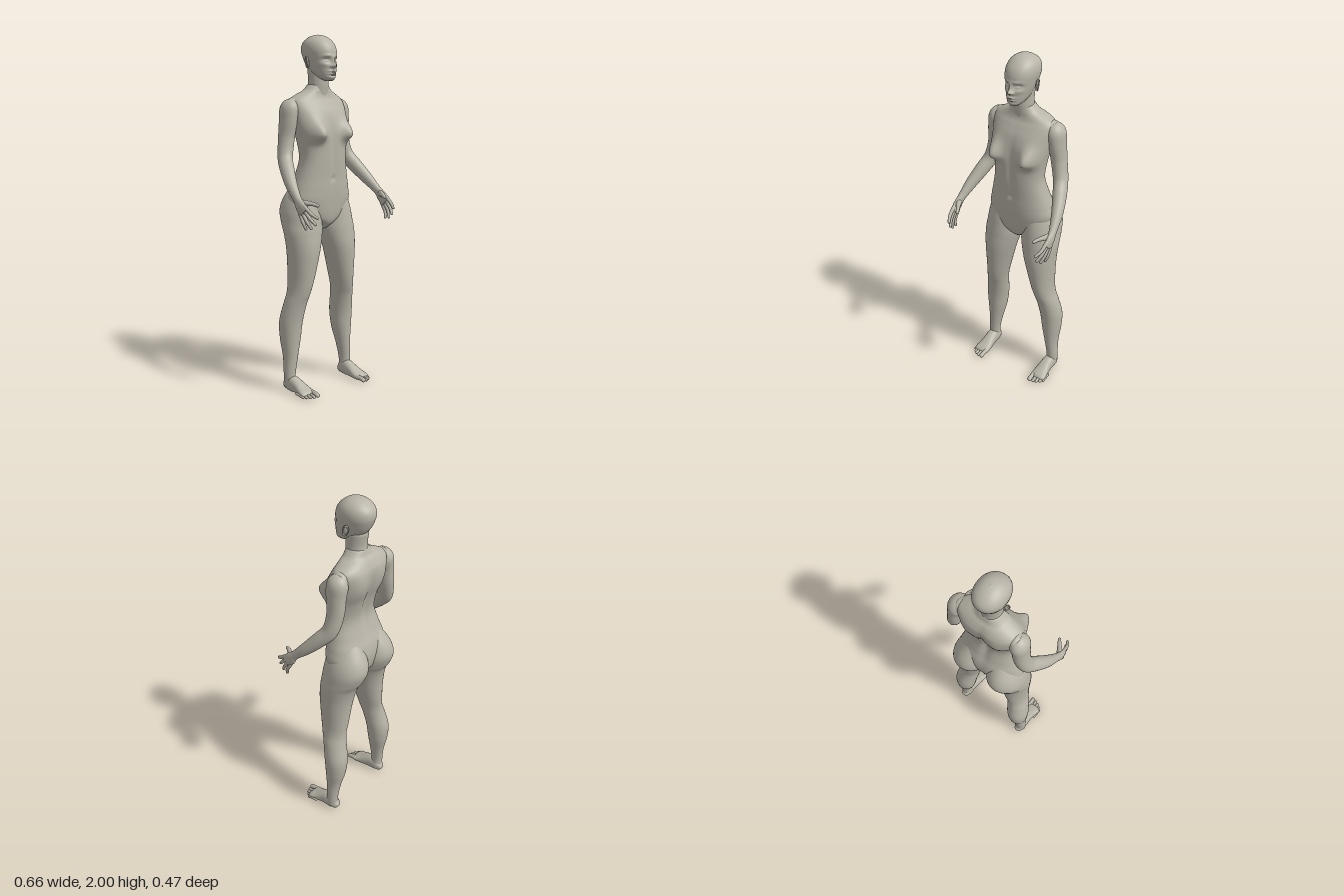
import * as THREE from 'three';

const skin = new THREE.MeshStandardMaterial({ color: 0xb8b4a8 });
skin.name = 'warm grey clay';

// Smooth interpolation through rows of numbers, t from 0 to 1
function sample(rows, t) {
  const n = rows.length - 1;
  const i = Math.min(n - 1, Math.floor(t * n));
  const f = t * n - i;
  const at = (k) => rows[Math.max(0, Math.min(n, k))];
  return rows[i].map((b, k) => {
    const a = at(i - 1)[k], c = at(i + 1)[k], d = at(i + 2)[k];
    return b + 0.5 * f * (c - a + f * (2 * a - 5 * b + 4 * c - d + f * (3 * (b - c) + d - a)));
  });
}

const power = (v, n) => Math.sign(v) * Math.pow(Math.abs(v), 2 / n);

// Skin over rows of [x, y, z, radius along x, radius across], with rounded ends
function loft(name, rows, { steps = 40, sides = 32, n = 2, upright = false, cap = 1, shape } = {}) {
  const rings = [];
  const ring = (t, phi, dir) => {
    const [x, y, z, ra, rb] = sample(rows, t);
    const c = new THREE.Vector3(x, y, z);
    const p0 = sample(rows, Math.max(0, t - 0.01)), p1 = sample(rows, Math.min(1, t + 0.01));
    const T = upright ? new THREE.Vector3(0, 1, 0)
      : new THREE.Vector3(p1[0] - p0[0], p1[1] - p0[1], p1[2] - p0[2]).normalize();
    const A = new THREE.Vector3(1, 0, 0).addScaledVector(T, -T.x).normalize();
    const B = T.clone().cross(A);
    c.addScaledVector(T, dir * cap * Math.min(ra, rb) * Math.sin(phi));
    const k = Math.max(0.001, Math.cos(phi));
    rings.push(Array.from({ length: sides }, (_, j) => {
      const a = (j / sides) * Math.PI * 2;
      const p = c.clone().addScaledVector(A, ra * k * power(Math.cos(a), n))
        .addScaledVector(B, rb * k * power(Math.sin(a), n));
      if (shape) shape(p, z);
      return p;
    }));
  };
  for (let i = 6; i > 0; i--) ring(0, (i / 6) * Math.PI / 2, -1);
  for (let i = 0; i <= steps; i++) ring(i / steps, 0, 0);
  for (let i = 1; i <= 6; i++) ring(1, (i / 6) * Math.PI / 2, 1);

  const index = [];
  for (let i = 0; i < rings.length - 1; i++) {
    for (let j = 0; j < sides; j++) {
      const a = i * sides + j, b = i * sides + (j + 1) % sides;
      index.push(a, b, b + sides, a, b + sides, a + sides);
    }
  }
  const geometry = new THREE.BufferGeometry().setFromPoints(rings.flat());
  geometry.setIndex(index);
  geometry.computeVertexNormals();
  const mesh = new THREE.Mesh(geometry, skin);
  mesh.name = name;
  return mesh;
}

// Level sections: [y, centre x, half width, front z, back z]
const level = (rows) => rows.map(([y, x, w, f, b]) => [x, y, (f + b) / 2, w, (f - b) / 2]);
const mirror = (rows, s) => rows.map(([x, ...rest]) => [x * s, ...rest]);
const bump = (dx, dy, sx, sy) => Math.exp(-((dx / sx) ** 2) - (dy / sy) ** 2);

// Chest, navel, shoulder blades and spine
function shapeTorso(p, mid) {
  const x = Math.abs(p.x), y = p.y;
  if (p.z > mid) {
    const dy = y - 1.455;
    p.z += 0.06 * bump(x - 0.108, dy, 0.046, dy < 0 ? 0.04 : 0.07);
    p.z -= 0.008 * bump(x, y - 1.21, 0.012, 0.014);
    p.z -= 0.008 * bump(x, y - 1.38, 0.02, 0.15);
  } else {
    p.z -= 0.012 * bump(x - 0.095, y - 1.54, 0.05, 0.08);
    p.z += 0.016 * bump(x, y - 1.4, 0.025, 0.2);
  }
}

// Brow, eyes, nose, lips and chin
function shapeFace(p) {
  if (p.z < -0.04) return;
  const x = Math.abs(p.x), y = p.y;
  let d = -0.016 * bump(x - 0.034, y - 1.858, 0.02, 0.014);
  d += 0.009 * bump(x - 0.034, y - 1.855, 0.013, 0.007);
  d += 0.005 * bump(x - 0.03, y - 1.882, 0.025, 0.009);
  d += 0.013 * bump(x, y - 1.855, 0.009, 0.022);
  d += 0.022 * bump(x, y - 1.83, 0.012, 0.013);
  d += 0.01 * bump(x - 0.014, y - 1.826, 0.008, 0.008);
  d += 0.011 * bump(x, y - 1.799, 0.022, 0.006);
  d += 0.011 * bump(x, y - 1.785, 0.019, 0.006);
  d -= 0.005 * bump(x, y - 1.776, 0.025, 0.005);
  d += 0.005 * bump(x - 0.045, y - 1.835, 0.02, 0.015);
  p.z += d;
}

export function createModel() {
  const model = new THREE.Group();
  model.name = 'standingFigure';

  model.add(loft('torso', level([
    [0.925, 0, 0.025, -0.02, -0.11], [0.955, 0, 0.065, 0.015, -0.15], [1.0, 0, 0.15, 0.03, -0.18],
    [1.08, 0, 0.2, 0.04, -0.195], [1.15, 0, 0.19, 0.045, -0.187], [1.22, 0, 0.17, 0.047, -0.163],
    [1.32, 0, 0.148, 0.052, -0.14], [1.42, 0, 0.157, 0.052, -0.155], [1.5, 0, 0.173, 0.043, -0.178],
    [1.57, 0, 0.183, 0.024, -0.19], [1.62, 0, 0.186, -0.002, -0.19], [1.65, 0, 0.172, -0.02, -0.18],
    [1.675, 0, 0.13, -0.027, -0.166], [1.695, 0, 0.09, -0.028, -0.15], [1.72, 0, 0.064, -0.03, -0.14],
  ]), { steps: 130, sides: 112, n: 2.25, upright: true, cap: 0.3, shape: shapeTorso }));

  model.add(loft('neck', [
    [0, 1.63, -0.1, 0.075, 0.07], [0, 1.69, -0.085, 0.062, 0.062],
    [0, 1.74, -0.077, 0.056, 0.058], [0, 1.81, -0.082, 0.057, 0.06],
  ], { upright: true }));

  model.add(loft('head', level([
    [1.75, 0, 0.024, 0.033, -0.02], [1.765, 0, 0.042, 0.044, -0.06], [1.79, 0, 0.057, 0.044, -0.105],
    [1.82, 0, 0.067, 0.043, -0.138], [1.85, 0, 0.075, 0.042, -0.16], [1.88, 0, 0.081, 0.041, -0.174],
    [1.91, 0, 0.085, 0.038, -0.183], [1.94, 0, 0.082, 0.026, -0.181], [1.965, 0, 0.071, 0.005, -0.165],
    [1.985, 0, 0.05, -0.022, -0.137], [1.995, 0, 0.028, -0.047, -0.111], [1.999, 0, 0.006, -0.072, -0.086],
  ]), { steps: 120, sides: 112, n: 2.1, upright: true, cap: 0.2, shape: shapeFace }));

  for (const s of [1, -1]) {
    const side = s > 0 ? 'left' : 'right';
    const add = (name, rows, options) => model.add(loft(side + name, mirror(rows, s), options));

    // Ear: shell with a raised rim
    const ear = new THREE.Group();
    ear.name = side + 'Ear';
    const shell = new THREE.Mesh(new THREE.SphereGeometry(1, 20, 14), skin);
    shell.name = 'earShell';
    shell.scale.set(0.007, 0.03, 0.016);
    const rim = new THREE.Mesh(new THREE.TorusGeometry(0.022, 0.0045, 8, 28), skin);
    rim.name = 'earRim';
    rim.rotation.y = Math.PI / 2;
    rim.scale.set(0.65, 1.25, 1);
    rim.position.x = s * 0.005;
    ear.add(shell, rim);
    ear.position.set(s * 0.083, 1.848, -0.075);
    ear.rotation.set(-0.2, s * 0.35, 0);
    model.add(ear);

    // Leg with hip and seat
    add('Leg', level([
      [0.03, 0.215, 0.034, -0.05, -0.122], [0.1, 0.217, 0.033, -0.05, -0.121],
      [0.2, 0.207, 0.041, -0.044, -0.136], [0.3, 0.2, 0.057, -0.037, -0.16],
      [0.4, 0.195, 0.065, -0.028, -0.167], [0.5, 0.181, 0.063, -0.008, -0.148],
      [0.57, 0.167, 0.06, 0.014, -0.138], [0.65, 0.154, 0.067, 0.03, -0.143],
      [0.8, 0.137, 0.09, 0.045, -0.155], [0.9, 0.126, 0.107, 0.04, -0.178],
      [0.96, 0.119, 0.11, 0.034, -0.212], [1.03, 0.112, 0.109, 0.025, -0.235],
      [1.1, 0.103, 0.094, 0.01, -0.218], [1.18, 0.088, 0.06, -0.03, -0.165],
    ]), { steps: 110, sides: 48, upright: true, cap: 0.2 });

    // Foot
    add('Foot', [
      [0.214, 0.029, -0.112, 0.024, 0.025], [0.214, 0.038, -0.095, 0.032, 0.037],
      [0.214, 0.046, -0.06, 0.035, 0.046], [0.212, 0.039, -0.02, 0.037, 0.038],
      [0.212, 0.027, 0.025, 0.043, 0.026], [0.214, 0.019, 0.06, 0.047, 0.018],
      [0.214, 0.014, 0.074, 0.042, 0.013],
    ], { n: 2.3, cap: 0.7, shape: (p) => { p.y = Math.max(0.001, p.y); } });

    // Toes, from the big one outwards
    [[0.183, 0.112, 0.0135], [0.207, 0.111, 0.009], [0.226, 0.103, 0.009],
      [0.243, 0.09, 0.0085], [0.257, 0.073, 0.008]].forEach(([x, z, r], i) => add('Toe' + (i + 1), [
      [x - 0.002, r + 0.008, z - 0.055, r, r], [x, r + 0.005, z - 0.022, r * 0.9, r], [x, r, z, r, r * 0.9],
    ], { steps: 14, sides: 16 }));

    // Arm and palm
    add('Arm', [
      [0.16, 1.625, -0.108, 0.035, 0.042], [0.184, 1.596, -0.108, 0.051, 0.06],
      [0.197, 1.53, -0.108, 0.045, 0.058], [0.208, 1.43, -0.112, 0.042, 0.05],
      [0.231, 1.33, -0.095, 0.04, 0.045], [0.26, 1.262, -0.042, 0.038, 0.041],
      [0.289, 1.19, 0.025, 0.031, 0.034], [0.307, 1.127, 0.09, 0.021, 0.025],
      [0.313, 1.09, 0.123, 0.018, 0.034], [0.313, 1.062, 0.148, 0.014, 0.035],
    ], { steps: 90, sides: 40, cap: 0.8 });

    // Fingers, each bent slightly inwards: base, then tip
    [[0.313, 1.076, 0.172, 0.291, 1.035, 0.232], [0.313, 1.063, 0.162, 0.293, 1.0, 0.219],
      [0.314, 1.049, 0.15, 0.299, 0.977, 0.192], [0.314, 1.037, 0.136, 0.306, 0.972, 0.158],
    ].forEach(([x, y, z, u, v, w], i) => add('Finger' + (i + 1), [
      [x, y + 0.015, z - 0.015, 0.011, 0.011],
      [(x + u) / 2 + 0.005, (y + v) / 2, (z + w) / 2, 0.0095, 0.0095], [u, v, w, 0.0075, 0.0075],
    ], { steps: 18, sides: 16 }));
    add('Thumb', [
      [0.31, 1.11, 0.105, 0.015, 0.018], [0.292, 1.106, 0.142, 0.014, 0.016],
      [0.272, 1.103, 0.172, 0.011, 0.011], [0.257, 1.095, 0.197, 0.009, 0.009],
    ], { steps: 20, sides: 16 });
  }
  return model;
}
